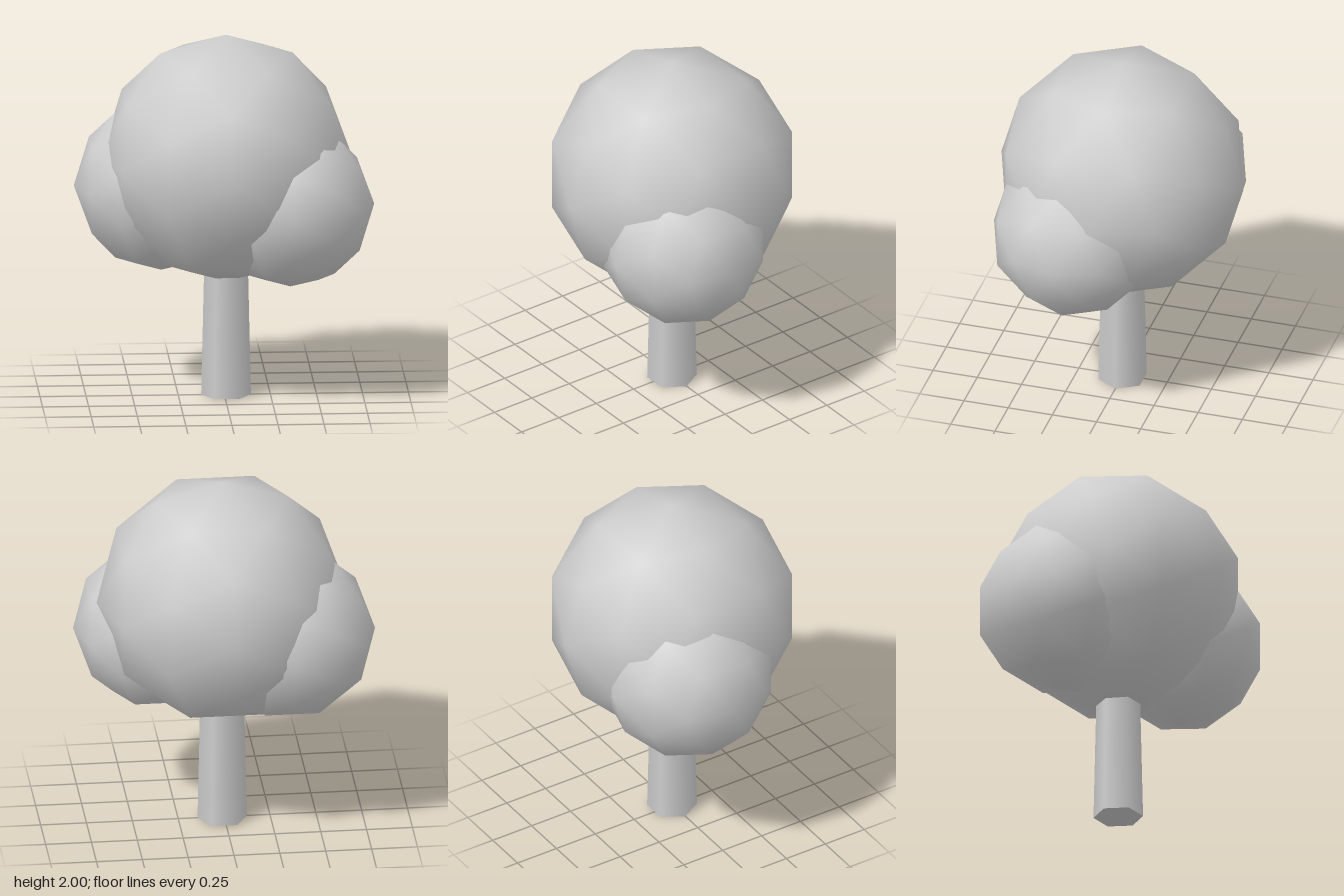
import * as THREE from 'three';

export function createModel() {
  const tree = new THREE.Group();
  tree.name = 'tree';
  const gray = new THREE.MeshStandardMaterial({ color: 0xcccccc });
  gray.name = 'light gray';

  function add(name, geometry, x, y, z) {
    const mesh = new THREE.Mesh(geometry, gray);
    mesh.name = name;
    mesh.position.set(x, y, z);
    tree.add(mesh);
    return mesh;
  }

  // Six-sided tapering trunk, its top buried in the crown
  const height = 0.8;
  const trunk = add('trunk', new THREE.CylinderGeometry(0.117, 0.135, height, 6), 0.01, height / 2, 0);
  trunk.rotation.y = Math.PI / 6;

  // Smooth-shaded, low-poly foliage balls: name, radius, centre
  const foliage = [
    ['crown', 0.685, 0.01, 1.315, 0],
    ['leftFoliage', 0.455, 0.35, 1.09, 0.17],
    ['rightFoliage', 0.475, -0.335, 1.145, -0.12],
  ];
  for (const [name, radius, x, y, z] of foliage) {
    add(name, new THREE.IcosahedronGeometry(radius, 1), x, y, z);
  }
  return tree;
}
